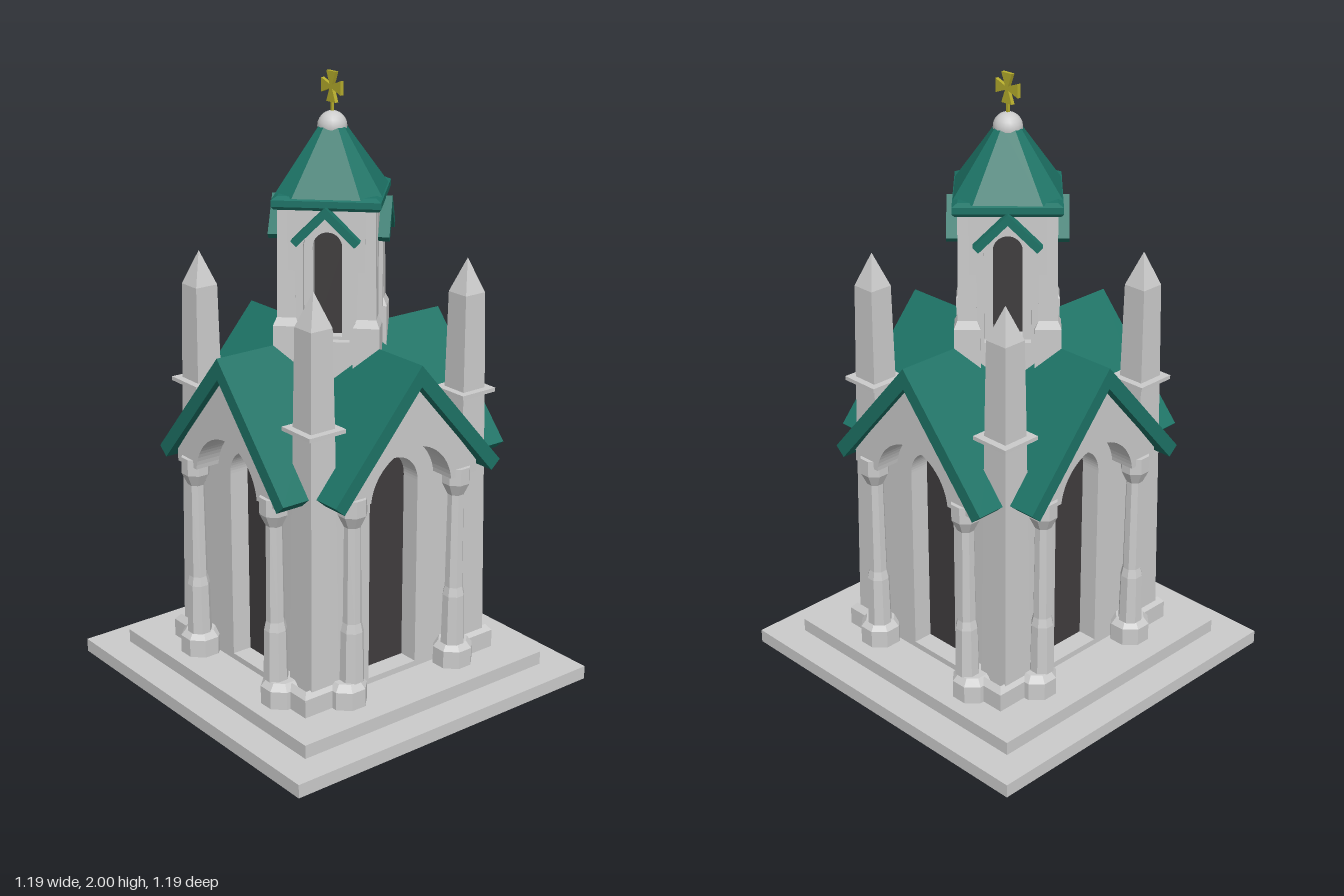
import * as THREE from 'three';
import { ConvexGeometry } from 'three/addons/geometries/ConvexGeometry.js';

const mat = (color) => new THREE.MeshStandardMaterial({ color, flatShading: true });
const stone = mat(0xcccccc), green = mat(0x1d7366), dark = mat(0x403d3e), gold = mat(0xb5ac2c);
const smoothStone = new THREE.MeshStandardMaterial({ color: 0xcccccc });

function add(parent, name, geometry, material, x = 0, y = 0, z = 0) {
  const mesh = new THREE.Mesh(geometry, material);
  mesh.name = name;
  mesh.position.set(x, y, z);
  parent.add(mesh);
  return mesh;
}

// n-sided turned profile; points are [half width across flats, height]
const turned = (n, points) => new THREE.LatheGeometry(
  points.map(([r, y]) => new THREE.Vector2(r / Math.cos(Math.PI / n), y)), n, Math.PI / n);

const polygon = (pts) => new THREE.Shape(pts.map(([x, y]) => new THREE.Vector2(x, y)));

// Slab standing between two depths
const slab = (shape, z0, z1) => new THREE.ExtrudeGeometry(shape,
  { depth: z1 - z0, bevelEnabled: false, curveSegments: 16 }).translate(0, 0, z0);

// Round-headed outline
function archShape(r, bottom, spring) {
  const s = new THREE.Shape();
  s.moveTo(-r, bottom);
  s.lineTo(r, bottom);
  s.lineTo(r, spring);
  s.absarc(0, spring, r, 0, Math.PI, false);
  s.closePath();
  return s;
}

function wallWithArch(outline, r, bottom, spring, z0, z1) {
  const s = polygon(outline);
  s.holes.push(archShape(r, bottom, spring));
  return slab(s, z0, z1);
}

// Pitched roof of two slabs: half span w, ridge height, eave height, thickness t
function chevron(w, ridge, eave, t, z0, z1) {
  const k = (ridge - eave) / w, len = Math.hypot(1, k);
  const ix = w - t * k / len, iy = eave - t / len, drop = t * len;
  return slab(polygon([[0, ridge], [-w, eave], [-ix, iy], [0, ridge - drop], [ix, iy], [w, eave]]), z0, z1);
}

const columnBase = turned(8, [[0.062, 0.09], [0.062, 0.15], [0.045, 0.172], [0, 0.172]]);
const column = turned(8, [[0.037, 0.17], [0.034, 0.34], [0.028, 0.37], [0.025, 0.69], [0.043, 0.73], [0.043, 0.785], [0, 0.785]]);

// One arm of the cross plan, facing +z
function makeArm(shift) {
  const arm = new THREE.Group();
  arm.name = 'arm';
  const z = (v) => v - shift;
  add(arm, 'doorWall', wallWithArch(
    [[-0.27, 0.085], [0.27, 0.085], [0.27, 0.78], [0, 1.1], [-0.27, 0.78]], 0.097, 0.11, 0.745, z(0.265), z(0.335)), stone);
  add(arm, 'door', slab(archShape(0.1, 0.1, 0.745), z(0.255), z(0.268)), dark);

  // Gable carried on two columns
  const gable = polygon([[0.163, 0.76], [0.265, 0.76], [0.265, 0.8], [0, 1.12], [-0.265, 0.8], [-0.265, 0.76], [-0.163, 0.76]]);
  gable.absarc(0, 0.74, 0.163, Math.PI - 0.12, 0.12, true);
  add(arm, 'gable', slab(gable, z(0.325), z(0.42)), stone);
  for (const s of [-1, 1]) {
    add(arm, 'columnBase', columnBase, stone, s * 0.222, 0, z(0.378));
    add(arm, 'column', column, stone, s * 0.21, 0, z(0.39));
  }

  // Roof slabs mitred along the valleys
  const roof = chevron(0.33, 1.177, 0.798, 0.045, 0, 0.445 - shift * 0.4);
  const p = roof.attributes.position;
  for (let i = 0; i < p.count; i++) if (p.getZ(i) < 0.001) p.setZ(i, Math.abs(p.getX(i)));
  roof.computeVertexNormals();
  add(arm, 'roof', roof, green);
  return arm;
}

// One face of the lantern tower, facing +z
function makeTowerFace() {
  const face = new THREE.Group();
  face.name = 'towerFace';
  const outline = [[-0.118, 0.98], [0.118, 0.98], [0.118, 1.61], [-0.118, 1.61]];
  add(face, 'windowFrame', wallWithArch(outline, 0.072, 1.19, 1.485, 0.125, 0.152), stone);
  add(face, 'windowWall', wallWithArch(outline, 0.045, 1.2, 1.485, 0.085, 0.126), stone);
  add(face, 'window', slab(archShape(0.047, 1.19, 1.485), 0.075, 0.088), dark);
  add(face, 'gablet', chevron(0.105, 1.62, 1.515, 0.024, 0.12, 0.187), green);
  return face;
}

export function createModel() {
  const model = new THREE.Group();
  model.name = 'chapel';

  // Stepped base, the lower step hollow underneath
  const square = (h) => [[-h, -h], [h, -h], [h, h], [-h, h]];
  const step = polygon(square(0.595));
  step.holes.push(polygon(square(0.482)));
  add(model, 'lowerStep', slab(step, 0, 0.045).rotateX(-Math.PI / 2), stone);
  add(model, 'upperStep', new THREE.BoxGeometry(0.98, 0.045, 0.98), stone, 0, 0.0675, 0);

  // Four arms
  for (let i = 0; i < 4; i++) {
    const arm = makeArm(i % 2 ? 0.025 : 0);
    arm.rotation.y = i * Math.PI / 2;
    model.add(arm);
  }

  // Corner piers ending in pinnacles
  const pier = turned(4, [[0.056, 0.09], [0.045, 1.0], [0.04, 1.32], [0, 1.43]]);
  const pierBase = turned(4, [[0.066, 0.09], [0.066, 0.15], [0.05, 0.17]]);
  const band = new THREE.BoxGeometry(0.137, 0.013, 0.137);
  for (const x of [-0.294, 0.294]) for (const z of [-0.302, 0.302]) {
    add(model, 'cornerPier', pier, stone, x, 0, z);
    add(model, 'pierBase', pierBase, stone, x, 0, z + Math.sign(z) * 0.022);
    add(model, 'pinnacleBand', band, stone, x, 1.001, z);
  }

  // Lantern tower set diagonally over the crossing, with square buttresses on its corners
  const tower = new THREE.Group();
  tower.name = 'tower';
  model.add(tower);
  const buttress = turned(4, [[0.041, 0.98], [0.041, 1.24], [0.03, 1.265], [0.026, 1.61]]);
  for (let i = 0; i < 4; i++) {
    const a = i * Math.PI / 2;
    const face = makeTowerFace();
    face.rotation.y = a + Math.PI / 4;
    tower.add(face);
    add(tower, 'buttress', buttress, stone, 0.175 * Math.sin(a), 0, 0.175 * Math.cos(a)).rotation.y = Math.PI / 4;
  }
  add(tower, 'towerEave', turned(4, [[0, 1.605], [0.16, 1.605], [0.167, 1.615], [0.167, 1.635], [0.15, 1.645], [0, 1.645]]),
    green).rotation.y = Math.PI / 4;
  const roofPoints = [];
  for (const [a, b, y] of [[0.042, 0.19, 1.64], [0.011, 0.036, 1.845]])
    for (const s of [-1, 1]) for (const t of [-1, 1])
      roofPoints.push(new THREE.Vector3(s * a, y, t * b), new THREE.Vector3(s * b, y, t * a));
  add(tower, 'spire', new ConvexGeometry(roofPoints), green);

  // Finial ball and flared cross
  add(tower, 'finialBall', new THREE.SphereGeometry(0.046, 20, 12), smoothStone, 0, 1.834, 0);
  const cross = new THREE.Group();
  cross.name = 'cross';
  cross.position.y = 1.953;
  tower.add(cross);
  const flare = slab(polygon([[-0.004, 0], [0.004, 0], [0.022, 0.047], [-0.022, 0.047]]), -0.006, 0.006);
  for (let i = 0; i < 4; i++) add(cross, 'crossArm', flare, gold).rotation.z = i * Math.PI / 2;
  add(cross, 'crossStem', new THREE.BoxGeometry(0.008, 0.05, 0.008), gold, 0, -0.065, 0);
  return model;
}
